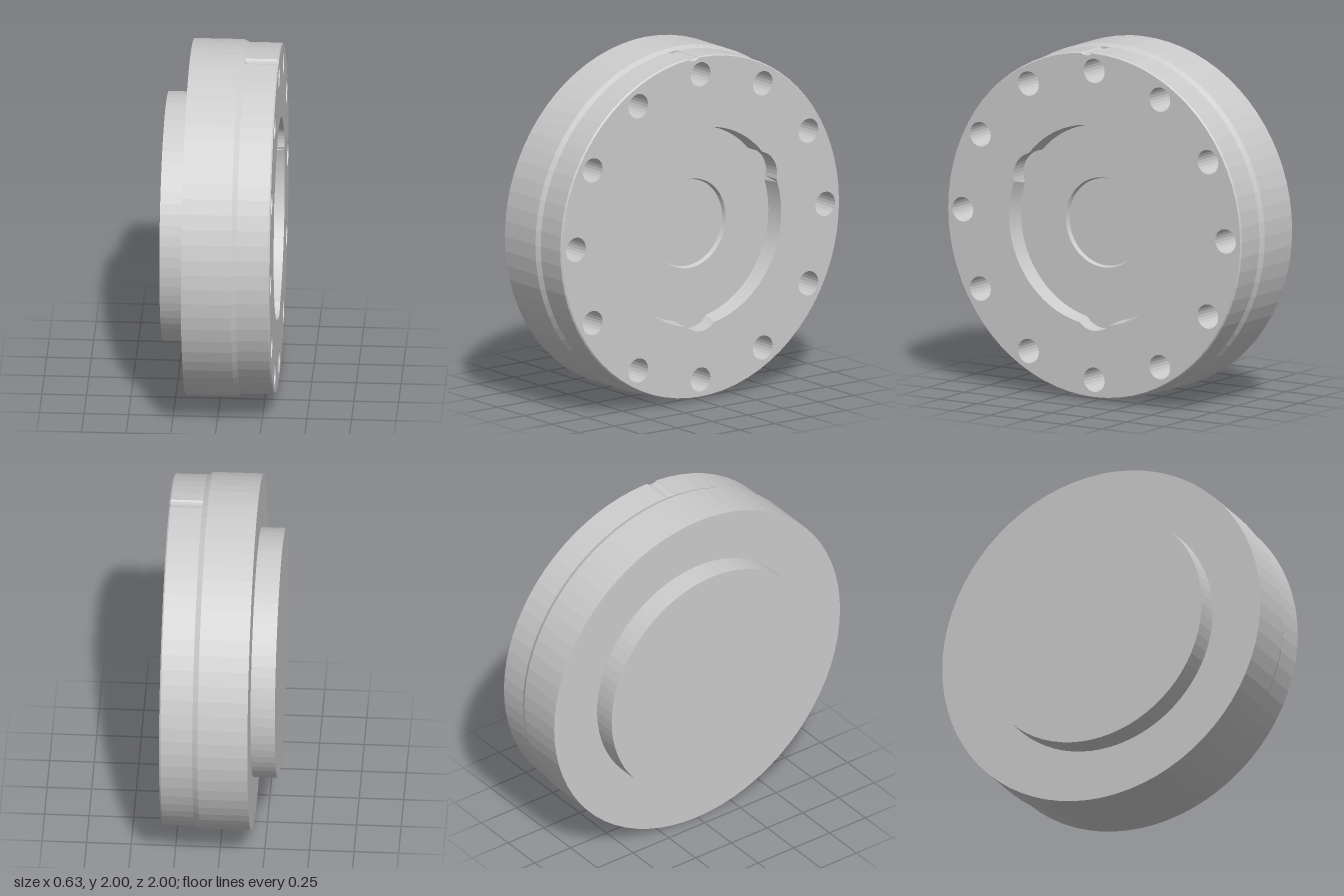
import * as THREE from 'three';

const FRONT = 0.317;
const material = new THREE.MeshStandardMaterial({ color: 0xcccccc, flatShading: true });

// Evenly spaced angles, plus any extras, in ascending order
function angles(count, extra = []) {
  const list = Array.from({ length: count }, (_, i) => (i / count) * Math.PI * 2);
  return list.concat(extra).sort((a, b) => a - b);
}

// Points of a loop; radius is a number or a function of the angle
function loop(radius, list) {
  return list.map((t) => {
    const r = typeof radius === 'function' ? radius(t) : radius;
    return new THREE.Vector2(Math.cos(t) * r, Math.sin(t) * r);
  });
}

// Joins successive [radius, depth] rings into one faceted skin
function sweep(name, rings, list) {
  const positions = [];
  const tri = new THREE.Triangle();
  const push = (a, b, c) => {
    if (tri.set(a, b, c).getArea() > 1e-9) {
      for (const p of [a, b, c]) positions.push(p.x, p.y, p.z);
    }
  };
  const loops = rings.map(([r, z]) => loop(r, list).map((p) => new THREE.Vector3(p.x, p.y, z)));
  for (let k = 0; k + 1 < loops.length; k++) {
    for (let i = 0; i < list.length; i++) {
      const j = (i + 1) % list.length;
      const a = loops[k][i], b = loops[k][j], c = loops[k + 1][j], d = loops[k + 1][i];
      push(a, b, c);
      push(a, c, d);
    }
  }
  const geometry = new THREE.BufferGeometry();
  geometry.setAttribute('position', new THREE.Float32BufferAttribute(positions, 3));
  geometry.computeVertexNormals();
  const mesh = new THREE.Mesh(geometry, material);
  mesh.name = name;
  return mesh;
}

// Rim radius with a shallow rounded index notch just beside the top
const NOTCH = Math.PI / 2 + 0.051, NOTCH_HALF = 0.036;
const notched = (r) => (t) => {
  const u = (t - NOTCH) / NOTCH_HALF;
  return Math.abs(u) < 1 ? r - 0.013 * Math.sqrt(1 - u * u) : r;
};

// Pocket radius with three rounded lobes, at the bottom and 30 degrees above each side
const lobed = (r) => (t) => {
  const c = 0.46, lobeRadius = 0.142, step = (Math.PI * 2) / 3;
  const d = t - Math.PI / 6;
  const a = d - Math.round(d / step) * step;
  const h = lobeRadius ** 2 - (c * Math.sin(a)) ** 2;
  return h > 0 ? Math.max(r, c * Math.cos(a) + Math.sqrt(h)) : r;
};

export function createModel() {
  const model = new THREE.Group();
  model.name = 'flangedCap';
  const disc = new THREE.Group();
  disc.name = 'disc';
  disc.rotation.y = Math.PI / 2;
  disc.position.y = 1;
  model.add(disc);

  const notchAngles = [-1, -0.8, -0.4, 0, 0.4, 0.8, 1].map((u) => NOTCH + u * NOTCH_HALF);
  const rimAngles = angles(72, notchAngles);
  const pocketAngles = angles(180);
  const holeAngles = angles(24);

  // Rear boss, flange and stepped rim
  disc.add(sweep('body', [
    [0, -0.317], [0.7, -0.317], [0.7, -0.18], [1, -0.18], [1, 0.1], [0.985, 0.13],
    [notched(0.985), 0.13], [notched(0.985), 0.309], [notched(0.978), FRONT],
  ], rimAngles));

  // Lobed pocket with tapered walls and a shallow round recess in its floor
  disc.add(sweep('pocket', [
    [lobed(0.57), FRONT], [lobed(0.557), 0.215],
    [0.256, 0.215], [0.248, 0.19], [0, 0.19],
  ], pocketAngles));

  // Flat front face, pierced by the pocket and the ring of holes
  const face = new THREE.Shape(loop(notched(0.978), rimAngles));
  face.holes.push(new THREE.Path(loop(lobed(0.57), pocketAngles)));
  for (let i = 0; i < 12; i++) {
    const t = (i / 12) * Math.PI * 2;
    const centre = new THREE.Vector2(Math.cos(t), Math.sin(t)).multiplyScalar(0.88);
    face.holes.push(new THREE.Path(loop(0.07, holeAngles).map((p) => p.add(centre))));

    // Blind bolt hole
    const hole = sweep('boltHole', [[0.07, FRONT], [0.07, 0.02], [0, 0.02]], holeAngles);
    hole.position.set(centre.x, centre.y, 0);
    disc.add(hole);
  }
  const frontFace = new THREE.Mesh(new THREE.ShapeGeometry(face), material);
  frontFace.name = 'frontFace';
  frontFace.position.z = FRONT;
  disc.add(frontFace);

  return model;
}
